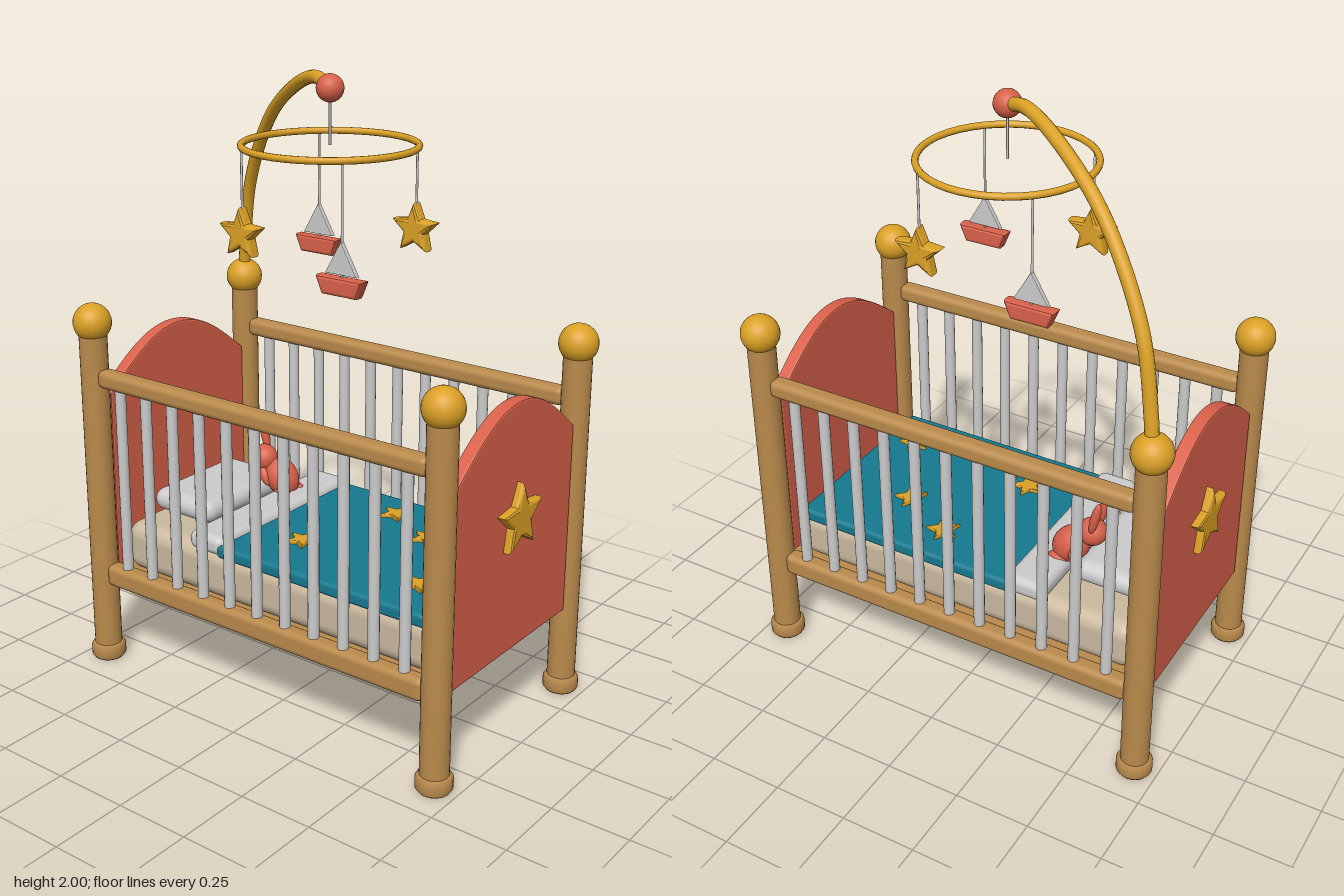
import * as THREE from 'three';
import { RoundedBoxGeometry } from 'three/addons/geometries/RoundedBoxGeometry.js';

const mat = (color) => new THREE.MeshStandardMaterial({ color });
const wood = mat(0xb98a4c), gold = mat(0xdba126), red = mat(0xd9614a), teal = mat(0x15798f);
const cream = mat(0xcbb99f), grey = mat(0xcccccc);

export function createModel() {
  const root = new THREE.Group();

  const add = (name, geometry, material, x = 0, y = 0, z = 0, parent = root) => {
    const mesh = new THREE.Mesh(geometry, material);
    mesh.name = name;
    mesh.position.set(x, y, z);
    parent.add(mesh);
    return mesh;
  };
  const group = (name, x = 0, y = 0, z = 0) => {
    const g = new THREE.Group();
    g.name = name;
    g.position.set(x, y, z);
    root.add(g);
    return g;
  };
  const rounded = (w, h, d, r) => new RoundedBoxGeometry(w, h, d, 4, r);

  // Bevelled extrusion centred on z = 0, keeping the outline size
  const slab = (shape, thickness, bevel) => {
    const depth = thickness - 2 * bevel;
    return new THREE.ExtrudeGeometry(shape, {
      depth, bevelEnabled: bevel > 0, bevelThickness: bevel, bevelSize: bevel,
      bevelOffset: -bevel, bevelSegments: 2, curveSegments: 20,
    }).translate(0, 0, -depth / 2);
  };
  const star = (radius, thickness, bevel) => {
    const pts = [];
    for (let i = 0; i < 10; i++) {
      const r = i % 2 ? radius * 0.48 : radius, a = Math.PI / 2 + (i * Math.PI) / 5;
      pts.push(new THREE.Vector2(r * Math.cos(a), r * Math.sin(a)));
    }
    return slab(new THREE.Shape(pts), thickness, bevel);
  };

  // Corner posts: foot, shaft and knob
  const foot = new THREE.LatheGeometry(
    [[0, 0.005], [0.05, 0.005], [0.058, 0.016], [0.058, 0.048], [0.05, 0.06], [0, 0.06]]
      .map(([x, y]) => new THREE.Vector2(x, y)), 24);
  for (const x of [-0.675, 0.675]) {
    for (const z of [-0.375, 0.375]) {
      const post = group('post', x, 0, z);
      add('foot', foot, wood, 0, 0, 0, post);
      add('shaft', new THREE.CylinderGeometry(0.046, 0.046, 1.13, 24), wood, 0, 0.605, 0, post);
      add('knob', new THREE.SphereGeometry(0.063, 24, 16), gold, 0, 1.2, 0, post);
    }
  }

  // Side rails and bars
  for (const z of [-0.375, 0.375]) {
    const side = group('sideRailing', 0, 0, z);
    add('topRail', rounded(1.28, 0.06, 0.06, 0.02), wood, 0, 1.02, 0, side);
    add('bottomRail', rounded(1.28, 0.075, 0.06, 0.02), wood, 0, 0.325, 0, side);
    for (let i = -5; i <= 5; i++) {
      add('bar', new THREE.CylinderGeometry(0.018, 0.018, 0.66, 14), grey, i * 0.1125, 0.67, 0, side);
    }
  }
  add('baseBoard', new THREE.BoxGeometry(1.32, 0.04, 0.72), wood, 0, 0.315, 0);

  // Arched end panels with a star on the outside
  const arch = new THREE.Shape();
  arch.moveTo(-0.33, 0.315);
  arch.lineTo(0.33, 0.315);
  arch.lineTo(0.33, 0.95);
  arch.bezierCurveTo(0.2, 1.06, 0.11, 1.12, 0, 1.12);
  arch.bezierCurveTo(-0.11, 1.12, -0.2, 1.06, -0.33, 0.95);
  arch.closePath();
  for (const s of [-1, 1]) {
    const end = group('endPanel', s * 0.675, 0, 0);
    end.rotation.y = (s * Math.PI) / 2;
    add('panel', slab(arch, 0.046, 0.006), red, 0, 0, 0, end);
    add('panelStar', star(0.115, 0.05, 0.012), gold, 0, 0.755, 0.025, end);
  }

  // Bedding
  add('mattress', rounded(1.25, 0.17, 0.65, 0.05), cream, 0, 0.415, 0);
  const pillow = rounded(0.26, 0.085, 0.41, 0.04);
  const p = pillow.attributes.position;
  for (let i = 0; i < p.count; i++) { // Plump the middle, thin the rim
    const edge = Math.max(Math.abs(p.getX(i)) / 0.13, Math.abs(p.getZ(i)) / 0.205);
    p.setY(i, p.getY(i) * (1.05 - 0.2 * edge * edge));
  }
  pillow.computeVertexNormals();
  add('pillow', pillow, grey, -0.48, 0.545, 0);
  add('blanket', rounded(0.8, 0.045, 0.68, 0.014), teal, 0.2, 0.512, 0);
  add('blanketFold', rounded(0.14, 0.066, 0.68, 0.027), grey, -0.25, 0.525, 0);
  for (const [x, z] of [[0.12, -0.21], [0.31, -0.11], [0, 0.145], [0.48, 0.18]]) {
    add('blanketStar', star(0.058, 0.022, 0.005), gold, x, 0.536, z).rotation.x = -Math.PI / 2;
  }

  // Toy rabbit resting against the pillow
  const rabbit = group('toyRabbit', -0.31, 0.595, -0.13);
  const ball = new THREE.SphereGeometry(1, 20, 14);
  const blob = (name, x, y, z, sx, sy, sz, tilt = 0) => {
    const m = add(name, ball, red, x, y, z, rabbit);
    m.scale.set(sx, sy, sz);
    m.rotation.z = tilt;
  };
  blob('body', 0, 0, 0, 0.058, 0.072, 0.055, 0.7);
  blob('head', -0.065, 0.06, 0.015, 0.048, 0.046, 0.046);
  for (const s of [-1, 1]) {
    blob('ear', -0.087, 0.135, 0.015 + s * 0.032, 0.015, 0.062, 0.017, 0.22);
    blob('arm', -0.035, 0.005, s * 0.045, 0.018, 0.035, 0.018, 0.5);
    blob('leg', 0.03, -0.045, s * 0.035, 0.035, 0.022, 0.022);
  }

  // Mobile: curved arm, ball and ring
  const path = new THREE.CatmullRomCurve3(
    [[0.675, 1.2], [0.66, 1.32], [0.607, 1.55], [0.44, 1.8], [0.25, 1.93], [0.095, 1.98], [0, 1.96]]
      .map(([d, y]) => new THREE.Vector3(-d, y, (-d * 0.375) / 0.675)));
  add('mobileArm', new THREE.TubeGeometry(path, 40, 0.021, 12), gold);
  add('mobileBall', new THREE.SphereGeometry(0.043, 20, 14), red, 0, 1.96, 0);
  const cord = (x, top, bottom, z) =>
    add('cord', new THREE.CylinderGeometry(0.004, 0.004, top - bottom, 8), grey, x, (top + bottom) / 2, z);
  cord(0, 1.94, 1.79, 0);
  add('mobileRing', new THREE.TorusGeometry(0.27, 0.011, 10, 40), gold, 0, 1.79, 0).rotation.x = Math.PI / 2;

  // Hanging stars and boats, alternating around the ring
  const hull = new THREE.Shape([[-0.085, 0.055], [-0.062, 0], [0.062, 0], [0.085, 0.055]]
    .map(([x, y]) => new THREE.Vector2(x, y)));
  const sail = new THREE.Shape([[-0.058, 0], [0.058, 0], [0, 0.1]]
    .map(([x, y]) => new THREE.Vector2(x, y)));
  for (const sx of [-1, 1]) {
    for (const sz of [-1, 1]) {
      const x = sx * 0.19, z = sz * 0.19;
      if (sx !== sz) {
        cord(x, 1.79, 1.59, z);
        add('hangingStar', star(0.083, 0.046, 0.012), gold, x, 1.525, z);
      } else {
        cord(x, 1.79, 1.44, z);
        add('boatHull', slab(hull, 0.046, 0.01), red, x, 1.392, z);
        add('boatSail', slab(sail, 0.018, 0.004), grey, x, 1.455, z);
      }
    }
  }
  return root;
}
